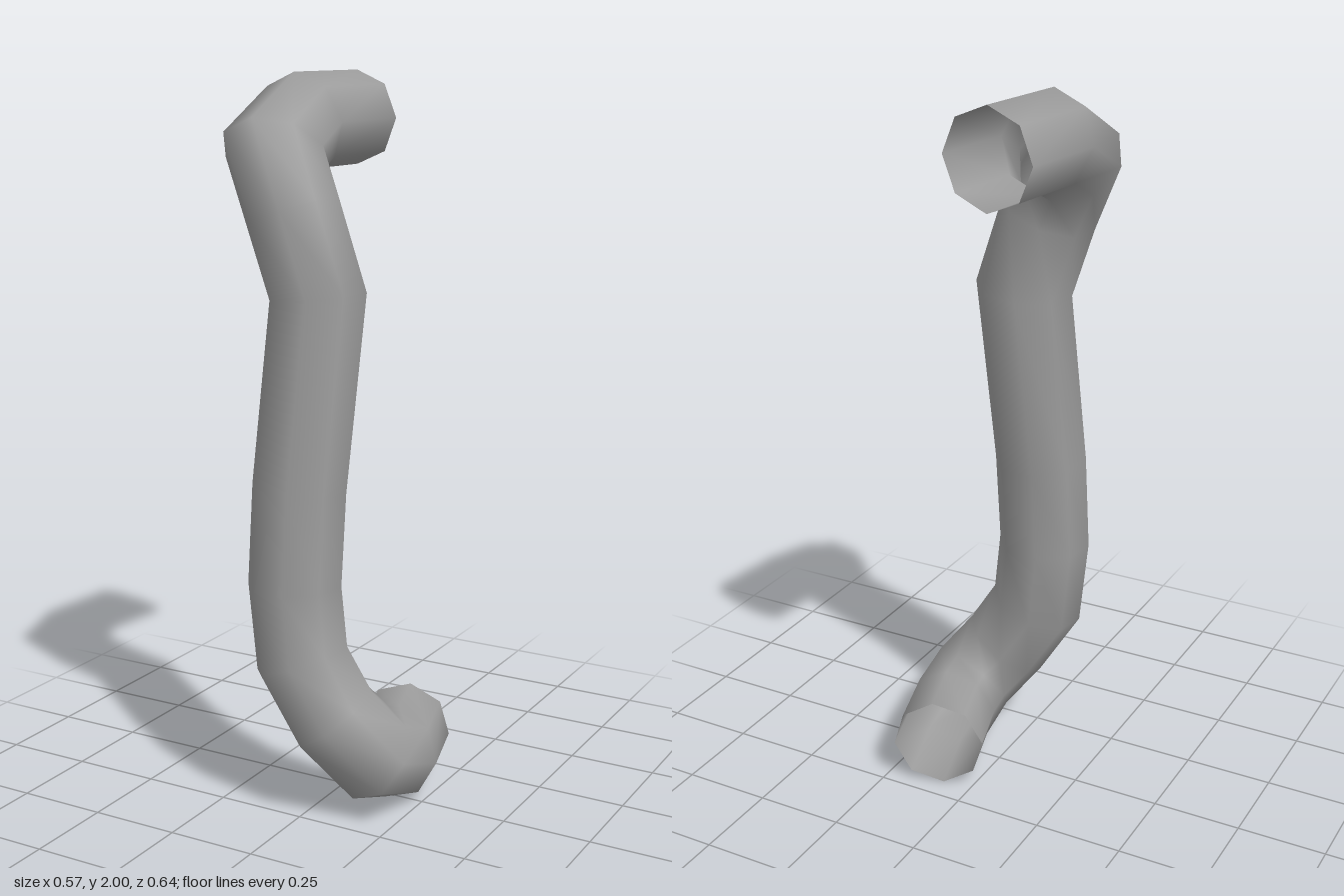
import * as THREE from 'three';

const SIDES = 8;
const RADIUS = 0.13;

// Centreline of the bent pipe, from the upper open end to the lower one
const PATH = [
  [-0.128, 1.872, -0.305],
  [-0.155, 1.869, -0.04],
  [-0.147, 1.797, 0.112],
  [-0.075, 1.64, 0.138],
  [-0.01, 1.425, 0.123],
  [-0.038, 0.915, 0.178],
  [-0.045, 0.65, 0.193],
  [-0.025, 0.443, 0.19],
  [0.07, 0.29, 0.18],
  [0.152, 0.18, 0.122],
  [0.155, 0.135, 0.0],
  [0.098, 0.133, -0.191],
].map((p) => new THREE.Vector3(...p));

// Sweeps an octagonal ring along the points, carrying it round each bend without twist
function sweep(points) {
  const last = points.length - 1;
  const dirs = points.slice(1).map((p, i) => p.clone().sub(points[i]).normalize());
  const up = new THREE.Vector3(0, 1, 0);
  const positions = [];
  const index = [];
  let previous = dirs[0];

  points.forEach((p, i) => {
    // each ring lies halfway between its two neighbouring segments
    const before = dirs[Math.max(i - 1, 0)];
    const after = dirs[Math.min(i, last - 1)];
    const tangent = before.clone().add(after).normalize();
    up.applyQuaternion(new THREE.Quaternion().setFromUnitVectors(previous, tangent));
    up.addScaledVector(tangent, -up.dot(tangent)).normalize();
    previous = tangent;
    const side = new THREE.Vector3().crossVectors(tangent, up);
    // mitre: the ring widens across the bend so the pipe keeps its thickness
    const bend = after.clone().sub(before).normalize();
    const widen = 1 / tangent.dot(after) - 1;
    for (let k = 0; k < SIDES; k++) {
      const a = (k / SIDES) * Math.PI * 2;
      const v = up.clone().multiplyScalar(Math.cos(a) * RADIUS)
        .addScaledVector(side, Math.sin(a) * RADIUS);
      v.addScaledVector(bend, v.dot(bend) * widen).add(p);
      positions.push(v.x, v.y, v.z);
      if (i < last) {
        const n = (k + 1) % SIDES;
        const r = i * SIDES;
        index.push(r + k, r + n, r + SIDES + k, r + n, r + SIDES + n, r + SIDES + k);
      }
    }
  });

  const geometry = new THREE.BufferGeometry();
  geometry.setAttribute('position', new THREE.Float32BufferAttribute(positions, 3));
  geometry.setIndex(index);
  geometry.computeVertexNormals();
  return geometry;
}

export function createModel() {
  const group = new THREE.Group();
  group.name = 'bentPipe';

  // Open-ended hose wall in a darker grey
  const material = new THREE.MeshStandardMaterial({ color: 0x9c9c9c, side: THREE.DoubleSide });
  const hose = new THREE.Mesh(sweep(PATH), material);
  hose.name = 'hose';
  group.add(hose);
  return group;
}
